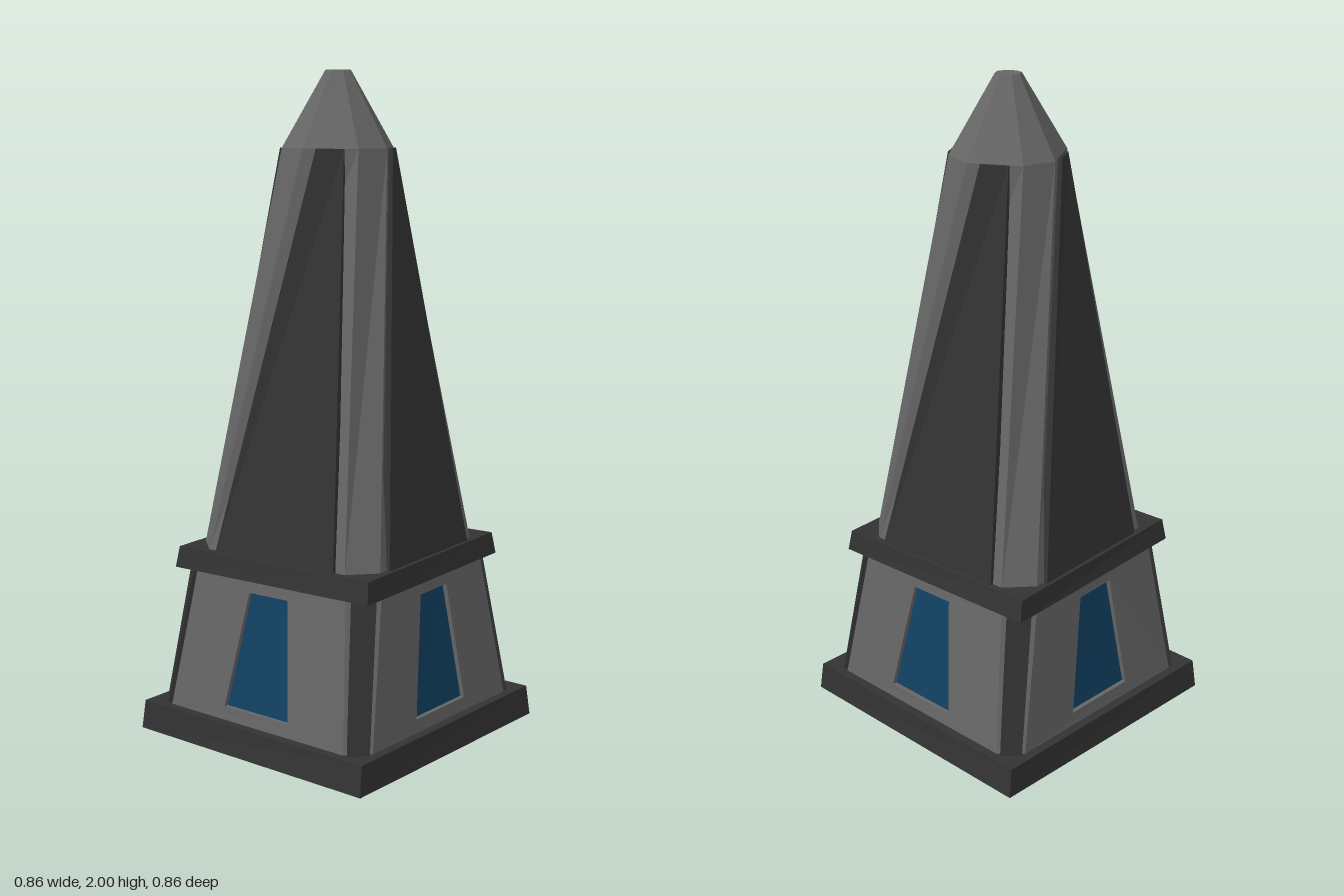
import * as THREE from 'three';

const lerp = THREE.MathUtils.lerp;
const material = (color) => new THREE.MeshStandardMaterial({ color, flatShading: true });

// Twist of the tower (radians) as a function of height
const TWIST = [[0, 0], [0.09, 0.5], [0.52, 3.7], [0.585, 4.2], [1.775, 31], [2, 34]];
function twistAt(y) {
  for (let i = 1; i < TWIST.length; i++) {
    const [y0, t0] = TWIST[i - 1], [y1, t1] = TWIST[i];
    if (y <= y1) return THREE.MathUtils.degToRad(lerp(t0, t1, (y - y0) / (y1 - y0)));
  }
  return THREE.MathUtils.degToRad(34);
}

// Point given in the untwisted tower, turned by the twist at its height
const UP = new THREE.Vector3(0, 1, 0);
const point = (x, y, z) => new THREE.Vector3(x, y, z).applyAxisAngle(UP, twistAt(y));

// Flat-faced skin through rings of equal count, with optional end caps
function loft(rings, capStart = true, capEnd = true) {
  const verts = [];
  const tri = (a, b, c) => verts.push(...a.toArray(), ...b.toArray(), ...c.toArray());
  const n = rings[0].length;
  for (let r = 0; r + 1 < rings.length; r++) {
    const a = rings[r], b = rings[r + 1];
    for (let i = 0; i < n; i++) {
      const j = (i + 1) % n;
      tri(a[i], a[j], b[j]);
      tri(a[i], b[j], b[i]);
    }
  }
  const first = rings[0], last = rings[rings.length - 1];
  for (let i = 1; i + 1 < n; i++) {
    if (capStart) tri(first[0], first[i + 1], first[i]);
    if (capEnd) tri(last[0], last[i], last[i + 1]);
  }
  const g = new THREE.BufferGeometry();
  g.setAttribute('position', new THREE.Float32BufferAttribute(verts, 3));
  g.computeVertexNormals();
  return g;
}

// Square ring, and square ring with cut corners (a: face distance, h: half face width)
const square = (a, y) => [[-a, a], [a, a], [a, -a], [-a, -a]].map(([x, z]) => point(x, y, z));
const octagon = (a, h, y) =>
  [[-h, a], [h, a], [a, h], [a, -h], [h, -a], [-h, -a], [-a, -h], [-a, h]]
    .map(([x, z]) => point(x, y, z));

// Upright four-cornered outline on the front side: half widths and distances, bottom then top
const outline = (y0, h0, z0, y1, h1, z1) =>
  [point(-h0, y0, z0), point(h0, y0, z0), point(h1, y1, z1), point(-h1, y1, z1)];

export function createModel() {
  const model = new THREE.Group();
  const stone = material(0x666666);
  const trim = material(0x333333);
  const glass = material(0x114163);

  const add = (name, geometry, mat, turn = 0) => {
    const mesh = new THREE.Mesh(geometry, mat);
    mesh.name = name;
    mesh.rotation.y = turn;
    model.add(mesh);
  };

  // Foot plinth and collar
  add('plinth', loft([square(0.431, 0), square(0.423, 0.09)]), trim);
  add('collar', loft([square(0.353, 0.52), square(0.344, 0.585)]), trim);

  // Tapering, twisting shaft and pointed cap
  const shoulder = octagon(0.155, 0.081, 1.775);
  add('shaft', loft([octagon(0.321, 0.248, 0.585), shoulder], false, false), stone);
  add('cap', loft([shoulder, octagon(0.036, 0.017, 2)], false, true), stone);

  // Lower storey measures
  const y0 = 0.09, y1 = 0.52;
  const wallAt = (y) => lerp(0.395, 0.345, (y - y0) / (y1 - y0));
  const windowOutline = (inset) =>
    outline(0.13, 0.123, wallAt(0.13) - inset, 0.485, 0.07, wallAt(0.485) - inset);
  const wallOutline = outline(y0, 0.335, 0.395, y1, 0.272, 0.345);
  const recess = windowOutline(0.014);

  // Cut-corner distances along the diagonal
  const d0 = (0.395 + 0.335) / Math.SQRT2, d1 = (0.345 + 0.272) / Math.SQRT2;

  for (let i = 0; i < 4; i++) {
    const turn = (i * Math.PI) / 2;
    const corner = turn + Math.PI / 4;

    // Wall with recessed window opening
    add('wall', loft([wallOutline, windowOutline(0), recess], false, false), stone, turn);
    add('windowPane', loft([recess], false, true), glass, turn);

    // Cut corner with a dark post standing proud of it
    add('wallCorner', loft([outline(y0, 0.0425, d0, y1, 0.0517, d1)], false, true), stone, corner);
    add('cornerPost', loft([
      outline(y0, 0.032, d0 - 0.02, y1, 0.036, d1 - 0.02),
      outline(y0, 0.032, d0 + 0.012, y1, 0.036, d1 + 0.012),
    ]), trim, corner);

    // Dark tapering panel on the shaft
    add('shaftPanel', loft([
      outline(0.585, 0.215, 0.306, 1.775, 0.041, 0.14),
      outline(0.585, 0.215, 0.332, 1.775, 0.041, 0.167),
    ]), trim, turn);
  }
  return model;
}
